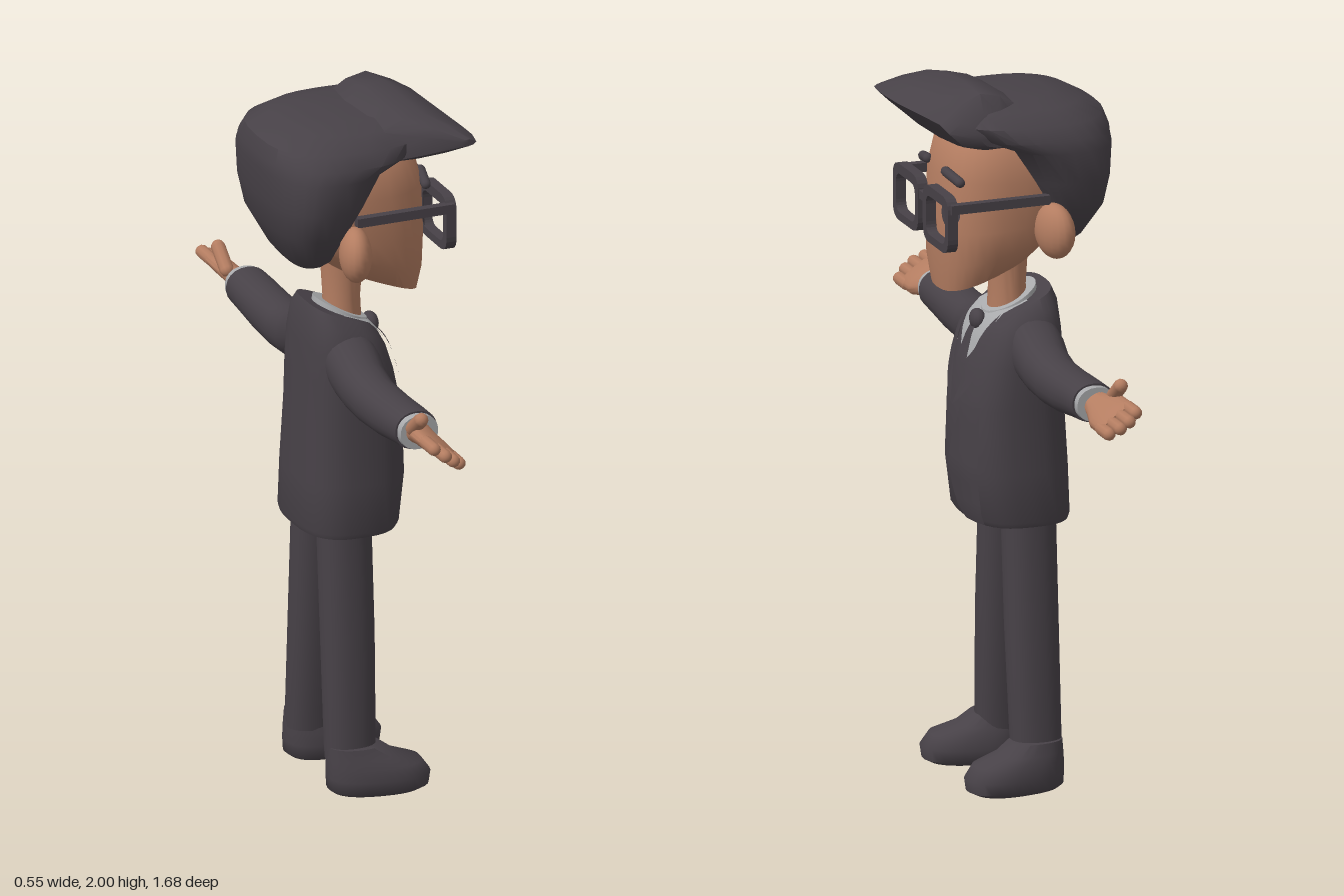
import * as THREE from 'three';
import { toCreasedNormals } from 'three/addons/utils/BufferGeometryUtils.js';

const mat = (name, color) => Object.assign(new THREE.MeshStandardMaterial({ color }), { name });

export function createModel() {
  const dark = mat('charcoal', 0x474147);
  const skin = mat('skin', 0xb47d61);
  const grey = mat('shirtGrey', 0xa8a9ab);

  const model = new THREE.Group();
  model.name = 'suitedMan';
  const body = new THREE.Group(); // built facing +z, then turned to face +x
  body.name = 'figure';
  body.rotation.y = Math.PI / 2;
  model.add(body);

  const add = (name, geo, material, parent = body) => {
    const m = new THREE.Mesh(geo, material);
    m.name = name;
    parent.add(m);
    return m;
  };

  // Closed skin over a list of rings, turned outward by its signed volume
  const loft = (rings, crease = 0.9) => {
    const n = rings[0].length, pts = rings.flat(), tris = [];
    for (let r = 0; r < rings.length - 1; r++) {
      for (let i = 0; i < n; i++) {
        const a = r * n + i, b = r * n + (i + 1) % n;
        tris.push([a, b, b + n], [a, b + n, a + n]);
      }
    }
    [0, rings.length - 1].forEach((r, end) => {
      const c = pts.length;
      pts.push(rings[r].reduce((s, p) => s.add(p), new THREE.Vector3()).divideScalar(n));
      for (let i = 0; i < n; i++) {
        const a = r * n + i, b = r * n + (i + 1) % n;
        tris.push(end ? [a, b, c] : [b, a, c]);
      }
    });
    const volume = tris.reduce((s, [a, b, c]) => s + pts[a].dot(pts[b].clone().cross(pts[c])), 0);
    if (volume < 0) tris.forEach((t) => t.reverse());
    const g = new THREE.BufferGeometry().setFromPoints(pts);
    g.setIndex(tris.flat());
    return toCreasedNormals(g, crease);
  };

  // Superellipse point list
  const oval = (n, f, seg = 32) => Array.from({ length: seg }, (_, i) => {
    const t = (i / seg) * Math.PI * 2, c = Math.cos(t), s = Math.sin(t);
    return f(Math.sign(c) * Math.abs(c) ** (2 / n), Math.sign(s) * Math.abs(s) ** (2 / n));
  });
  // Upright section: height, half width, back z, front z, tilt, centre x
  const ySec = (n) => ([y, w, zb, zf, tilt = 0, cx = 0]) => oval(n, (c, s) => {
    const dz = s * (zf - zb) / 2;
    return new THREE.Vector3(cx + c * w, y + dz * tilt, (zb + zf) / 2 + dz);
  });

  // Thin plate draped over the front of a mesh, between two side curves
  const ray = new THREE.Raycaster();
  const drape = (target, y0, y1, left, right, off, rows = 12, cols = 10) => {
    const g = new THREE.PlaneGeometry(1, 1, cols, rows), p = g.attributes.position;
    for (let i = 0; i < p.count; i++) {
      const v = p.getY(i) + 0.5, y = y0 + (y1 - y0) * v;
      const x = left(v) + (right(v) - left(v)) * (p.getX(i) + 0.5);
      ray.set(new THREE.Vector3(x, y, 2), new THREE.Vector3(0, 0, -1));
      const hit = ray.intersectObject(target)[0];
      p.setXYZ(i, x, y, (hit ? hit.point.z : 0) + off);
    }
    g.computeVertexNormals();
    return g;
  };

  // Jacket
  const jacket = add('jacket', loft([
    [0.75, 0.185, -0.16, 0.115], [0.765, 0.19, -0.165, 0.125], [0.9, 0.185, -0.162, 0.143],
    [1.08, 0.176, -0.152, 0.138], [1.2, 0.174, -0.147, 0.112], [1.28, 0.168, -0.142, 0.09, -0.1],
    [1.335, 0.145, -0.135, 0.072, -0.3], [1.368, 0.115, -0.122, 0.045, -0.4],
  ].map(ySec(2.8))), dark);

  // Shirt front, tie and jacket overlaps
  const vee = (v) => 0.088 * Math.min(1, (v * 1.7) ** 0.7);
  add('shirtFront', drape(jacket, 1.19, 1.37, (v) => -vee(v), vee, 0.005), grey);
  add('tieBlade', drape(jacket, 1.185, 1.3, (v) => -0.036 + 0.022 * v, (v) => 0.036 - 0.022 * v, 0.011), dark);
  add('tieKnot', new THREE.SphereGeometry(1, 14, 10).scale(0.034, 0.03, 0.022).translate(0, 1.305, 0.075), dark);
  add('frontOverlap', drape(jacket, 0.755, 1.09,
    (v) => 0.04 - 0.07 * Math.sin(Math.PI * Math.min(1, v * 1.1) ** 0.8), () => 0.13, 0.008), dark);
  for (const s of [-1, 1]) {
    const inner = (v) => s * 0.09 * v ** 0.75, outer = (v) => s * (0.09 * v ** 0.75 + 0.055 * Math.sin(Math.PI * v ** 0.8));
    add('lapel', drape(jacket, 1.07, 1.34, s > 0 ? inner : outer, s > 0 ? outer : inner, 0.013), dark);
  }

  // Collar and neck
  add('shirtCollar', loft([[1.3, 0.09, -0.1, 0.07, -0.4], [1.368, 0.078, -0.09, 0.058, -0.5]].map(ySec(2))), grey);
  add('neck', loft([[1.3, 0.062, -0.07, 0.045], [1.4, 0.056, -0.062, 0.04], [1.52, 0.06, -0.07, 0.05]].map(ySec(2))), skin);

  // Head
  const head = add('head', loft([
    [1.44, 0.07, 0.02, 0.175, -0.4], [1.465, 0.13, -0.075, 0.195, -0.4], [1.535, 0.172, -0.14, 0.204, -0.28],
    [1.61, 0.19, -0.19, 0.206, -0.1], [1.74, 0.19, -0.2, 0.2], [1.83, 0.18, -0.18, 0.178], [1.9, 0.12, -0.12, 0.11],
  ].map(ySec(2.6))), skin);
  add('nose', new THREE.SphereGeometry(1, 14, 10).scale(0.026, 0.03, 0.022).translate(0, 1.6, 0.205), skin);

  // Hair mass over the back and sides
  add('hair', loft([
    [1.535, 0.11, -0.18, -0.09], [1.56, 0.15, -0.2, -0.075], [1.655, 0.226, -0.25, -0.045],
    [1.74, 0.255, -0.268, 0.005], [1.83, 0.262, -0.275, 0.06], [1.865, 0.258, -0.274, 0.15],
    [1.905, 0.235, -0.262, 0.2], [1.94, 0.185, -0.2, 0.19], [1.955, 0.12, -0.12, 0.14],
  ].map(ySec(2.7)), 0.7), dark);

  // Swept quiff: side profile scaled along x
  const quiff = [[0, 0], [0.45, -0.02], [0.78, 0.12], [1, 0.52], [0.82, 0.78], [0.5, 1], [0.25, 0.92], [0, 0.7]];
  add('quiff', loft([
    [-0.288, 0.225, 0.268, 1.9, 1.92], [-0.24, 0.13, 0.276, 1.872, 1.95], [-0.185, 0.03, 0.275, 1.845, 1.975],
    [-0.1, 0, 0.27, 1.83, 1.99], [0.03, 0, 0.254, 1.825, 2], [0.13, 0, 0.236, 1.83, 1.99],
    [0.165, 0.02, 0.222, 1.84, 1.945], [0.19, 0.05, 0.14, 1.85, 1.9],
  ].map(([x, z0, z1, y0, y1]) => quiff.map(([u, v]) =>
    new THREE.Vector3(x, y0 + (y1 - y0) * v, z0 + (z1 - z0) * u))), 0.8), dark);

  // Glasses rim outline, rounded
  const roundRect = (S, x0, y0, x1, y1, r) => {
    const s = new S();
    s.moveTo(x0 + r, y0).lineTo(x1 - r, y0).quadraticCurveTo(x1, y0, x1, y0 + r);
    s.lineTo(x1, y1 - r).quadraticCurveTo(x1, y1, x1 - r, y1).lineTo(x0 + r, y1);
    s.quadraticCurveTo(x0, y1, x0, y1 - r).lineTo(x0, y0 + r).quadraticCurveTo(x0, y0, x0 + r, y0);
    return s;
  };
  const glasses = new THREE.Group();
  glasses.name = 'glasses';
  body.add(glasses);
  add('bridge', new THREE.BoxGeometry(0.06, 0.024, 0.025).translate(0, 1.675, 0.228), dark, glasses);

  for (const s of [-1, 1]) {
    // Rims and temples
    const xs = s > 0 ? [0.018, 0.21] : [-0.21, -0.018];
    const rim = roundRect(THREE.Shape, xs[0], 1.56, xs[1], 1.722, 0.045);
    rim.holes.push(roundRect(THREE.Path, xs[0] + 0.024, 1.583, xs[1] - 0.024, 1.693, 0.03));
    add('rim', new THREE.ExtrudeGeometry(rim, { depth: 0.03, bevelEnabled: false, curveSegments: 6 })
      .translate(0, 0, 0.213), dark, glasses);
    add('temple', new THREE.BoxGeometry(0.024, 0.026, 0.29).translate(s * 0.207, 1.692, 0.09), dark, glasses);

    // Eyes and brows
    const half = (v) => 0.034 * Math.sqrt(Math.max(0, 1 - (2 * v - 1) ** 2));
    add('eye', drape(head, 1.605, 1.69, (v) => s * 0.095 - half(v), (v) => s * 0.095 + half(v), 0.005), dark);
    const brow = add('brow', new THREE.CapsuleGeometry(0.014, 0.075, 4, 10), dark);
    brow.position.set(s * 0.105, 1.752, 0.188);
    brow.rotation.set(0, s * 0.2, Math.PI / 2 - s * 0.2);

    // Ear
    const ear = add('ear', new THREE.SphereGeometry(1, 18, 14), skin);
    ear.scale.set(0.075, 0.078, 0.045);
    ear.position.set(s * 0.225, 1.605, -0.065);
    ear.rotation.y = s * 0.25;

    // Sleeve and cuff: sections along x
    const xSec = ([x, y, ry, rz]) => oval(2.2, (c, t) => new THREE.Vector3(s * x, y + c * ry, -0.04 + t * rz), 22);
    add('sleeve', loft([
      [0.08, 1.275, 0.08, 0.075], [0.17, 1.238, 0.083, 0.077], [0.23, 1.212, 0.074, 0.07], [0.31, 1.2, 0.068, 0.066],
      [0.42, 1.203, 0.064, 0.065], [0.52, 1.212, 0.058, 0.064], [0.585, 1.216, 0.055, 0.062],
    ].map(xSec)), dark);
    add('cuff', loft([[0.57, 1.216, 0.05, 0.057], [0.608, 1.217, 0.049, 0.056]].map(xSec)), grey);

    // Hand: flat palm tilted about x, with fingers and thumb
    const hand = new THREE.Group();
    hand.name = 'hand';
    hand.position.set(0, 1.217, -0.042);
    hand.rotation.x = 0.62;
    body.add(hand);
    add('palm', loft([
      [0.59, 0.034, 0.032], [0.64, 0.027, 0.046], [0.69, 0.025, 0.063], [0.745, 0.022, 0.064], [0.765, 0.015, 0.057],
    ].map(([x, ry, rz]) => oval(2.4, (c, t) => new THREE.Vector3(s * x, c * ry, t * rz), 20))), skin, hand);
    [0.79, 0.808, 0.805, 0.785].forEach((x, i) => {
      const f = add('finger', new THREE.CapsuleGeometry(0.0185, 0.06, 5, 10), skin, hand);
      f.position.set(s * (x - 0.018), 0, -0.046 + i * 0.031);
      f.rotation.z = Math.PI / 2;
    });
    const thumb = add('thumb', new THREE.CapsuleGeometry(0.02, 0.075, 5, 10), skin);
    thumb.position.set(s * 0.672, 1.27, -0.075);
    thumb.rotation.z = -s * 0.9;

    // Trouser leg
    add('trouserLeg', loft([
      [0.09, 0.058, -0.113, 0.025, 0, s * 0.137], [0.13, 0.059, -0.115, 0.028, 0, s * 0.134],
      [0.45, 0.066, -0.115, 0.034, 0, s * 0.11], [0.8, 0.073, -0.115, 0.034, 0, s * 0.083],
    ].map(ySec(2.3))), dark);

    // Shoe, toe turned slightly outward
    const shoe = add('shoe', loft([
      [0.006, 0.075, -0.1, 0.15], [0.016, 0.086, -0.113, 0.17], [0.05, 0.088, -0.115, 0.175],
      [0.085, 0.082, -0.115, 0.15], [0.108, 0.07, -0.114, 0.08], [0.14, 0.06, -0.112, 0.035],
    ].map(ySec(2.4))), dark);
    shoe.position.set(s * 0.155, -0.006, 0);
    shoe.rotation.y = s * 0.16;
  }
  return model;
}
